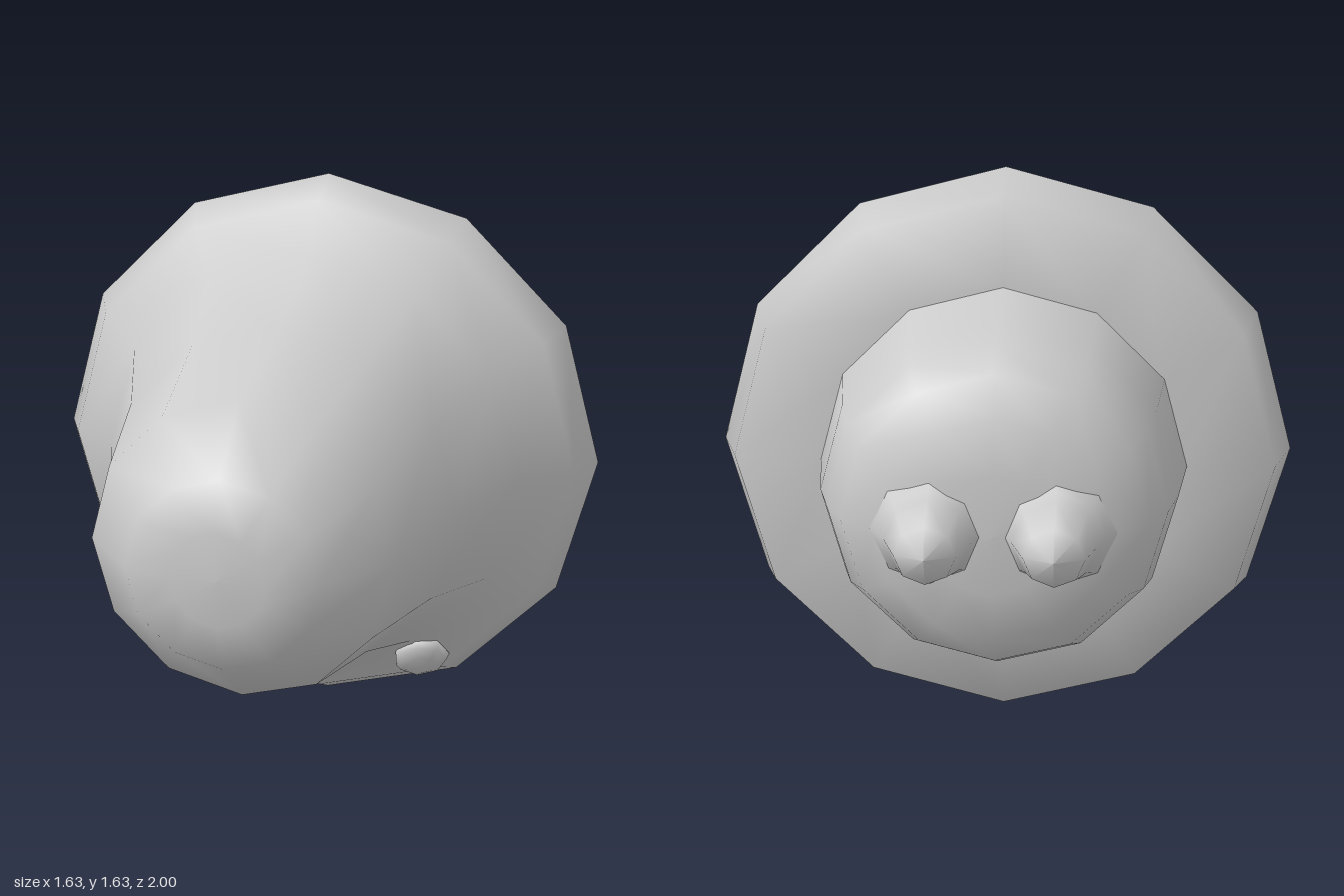
import * as THREE from 'three';

const CENTER_Y = 0.815;

export function createModel() {
  const model = new THREE.Group();
  const material = new THREE.MeshStandardMaterial({ color: 0xcccccc });

  // Revolves [radius, z] points, listed back to front, around the z axis
  function revolve(name, profile, sides, x = 0) {
    const points = profile.map(([r, z]) => new THREE.Vector2(r, z));
    const geometry = new THREE.LatheGeometry(points, sides);
    geometry.rotateX(Math.PI / 2);
    const mesh = new THREE.Mesh(geometry, material);
    mesh.name = name;
    mesh.position.set(x, CENTER_Y, 0);
    model.add(mesh);
  }

  // Bell with its flared rim and blunt rounded snout
  revolve('bellAndSnout', [
    [0.5, -0.32], [0.765, -0.3], [0.815, -0.16], [0.76, -0.05],
    [0.615, 0.06], [0.5, 0.38], [0.413, 0.78], [0.26, 0.955],
    [0.13, 0.99], [0, 0.995],
  ], 12);

  // Rounded rear dome, meeting the rim at a sharp edge
  revolve('rearDome', [
    [0, -0.845], [0.17, -0.84], [0.315, -0.805], [0.41, -0.735],
    [0.46, -0.64], [0.488, -0.54], [0.516, -0.32],
  ], 12);

  for (const side of [-1, 1]) {
    const label = side > 0 ? 'left' : 'right';

    // Tapered nub on the back of the dome
    revolve(label + 'Nub', [
      [0, -1], [0.08, -0.97], [0.115, -0.87], [0.13, -0.845], [0.16, -0.8],
    ], 8, side * 0.165);

    // Flattened bead lying on the lower slope of the bell
    const bead = new THREE.Mesh(new THREE.SphereGeometry(1, 7, 6), material);
    bead.name = label + 'Bead';
    bead.scale.set(0.085, 0.04, 0.085);
    bead.position.set(side * 0.33, 0.21, 0);
    const outward = new THREE.Vector3(side * 0.33, 0.21 - CENTER_Y, 0).setLength(0.6);
    outward.z = 0.8;
    bead.quaternion.setFromUnitVectors(new THREE.Vector3(0, 1, 0), outward.normalize());
    model.add(bead);
  }

  return model;
}
